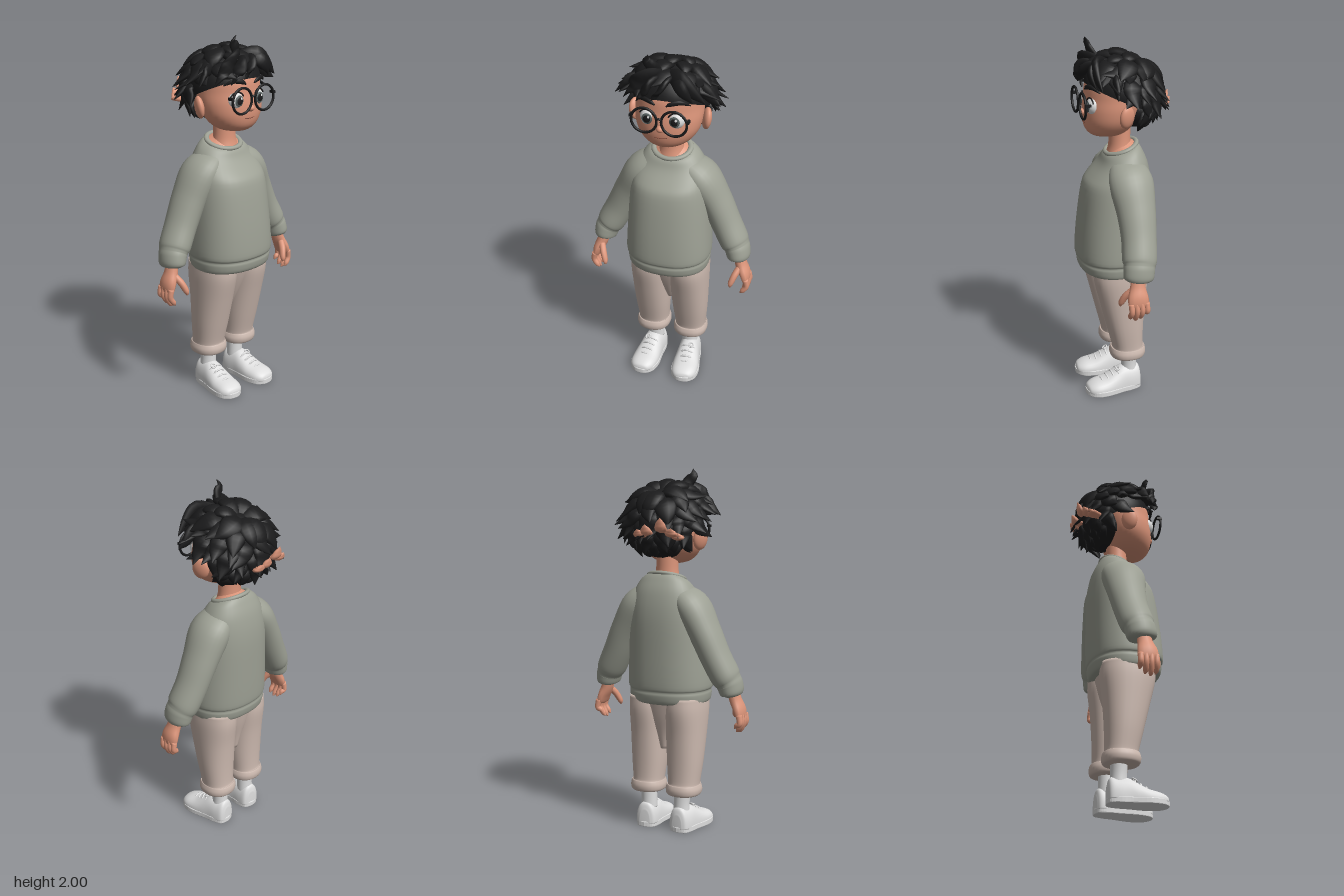
import * as THREE from 'three';

const mat = (name, color) => Object.assign(new THREE.MeshStandardMaterial({ color }), { name });
const V = (x, y, z) => new THREE.Vector3(x, y, z);

// Skin over elliptical sections [x, y, z, radius along ref, other radius]
function sweep(sections, { ref = V(1, 0, 0), up = null, steps = 5, seg = 20, exp = 2 } = {}) {
  const centres = new THREE.CatmullRomCurve3(sections.map(s => V(s[0], s[1], s[2])), false, 'catmullrom', 0.5);
  const radii = new THREE.CatmullRomCurve3(sections.map(s => V(s[3], s[4], 0)), false, 'catmullrom', 0.5);
  const n = (sections.length - 1) * steps, pos = [], idx = [];
  const power = v => Math.sign(v) * Math.abs(v) ** (2 / exp);
  for (let i = 0; i <= n; i++) {
    const c = centres.getPoint(i / n), r = radii.getPoint(i / n);
    const t = up || centres.getTangent(i / n);
    const a = ref.clone().addScaledVector(t, -t.dot(ref)).normalize();
    const b = t.clone().cross(a);
    for (let j = 0; j < seg; j++) {
      const q = j / seg * Math.PI * 2;
      const p = c.clone().addScaledVector(a, power(Math.cos(q)) * Math.max(r.x, 0.001))
        .addScaledVector(b, power(Math.sin(q)) * Math.max(r.y, 0.001));
      pos.push(p.x, p.y, p.z);
      if (i < n) {
        const k = i * seg + j, l = i * seg + (j + 1) % seg;
        idx.push(k, l, l + seg, k, l + seg, k + seg);
      }
    }
  }
  // End caps
  const first = sections[0], last = sections[sections.length - 1], m = (n + 1) * seg;
  pos.push(...first.slice(0, 3), ...last.slice(0, 3));
  for (let j = 0; j < seg; j++) {
    const k = (j + 1) % seg;
    idx.push(m, k, j, m + 1, n * seg + j, n * seg + k);
  }
  const g = new THREE.BufferGeometry();
  g.setAttribute('position', new THREE.Float32BufferAttribute(pos, 3));
  g.setIndex(idx);
  g.computeVertexNormals();
  return g;
}

// Move vertices by a rule
function warp(g, rule) {
  const p = g.attributes.position, v = V(0, 0, 0);
  for (let i = 0; i < p.count; i++) {
    rule(v.fromBufferAttribute(p, i));
    p.setXYZ(i, v.x, v.y, v.z);
  }
  g.computeVertexNormals();
  return g;
}

export function createModel() {
  const root = new THREE.Group();
  const skin = mat('skin', 0xdc957a), hair = mat('hair black', 0x1b1b1c), knit = mat('sage knit', 0x9da094);
  const cloth = mat('beige cloth', 0xcdbab0), white = mat('white', 0xdedede);
  const iris = mat('iris grey', 0x56605f), lip = mat('lip brown', 0x8f5443);
  const add = (name, g, m, parent = root) => {
    const mesh = new THREE.Mesh(g, m);
    mesh.name = name;
    parent.add(mesh);
    return mesh;
  };
  const ball = (name, m, x, y, z, rx, ry, rz, parent) => {
    const b = add(name, new THREE.SphereGeometry(1, 28, 20), m, parent);
    b.position.set(x, y, z);
    b.scale.set(rx, ry, rz);
    return b;
  };
  // Horizontal slices: [y, half width, front z, back z, centre x]
  const slices = (rows, o = {}) => sweep(rows.map(([y, rx, f, b, x = 0]) => [x, y, (f + b) / 2, rx, (f - b) / 2]),
    { up: V(0, 1, 0), seg: 36, ...o });

  // Sweater body, with the neckline lowered at the front
  add('sweaterBody', warp(slices([
    [0.722, 0.2, 0.2, -0.105], [0.735, 0.222, 0.239, -0.13], [0.775, 0.229, 0.251, -0.14], [0.797, 0.227, 0.249, -0.138],
    [0.83, 0.236, 0.26, -0.146], [1.0, 0.228, 0.247, -0.15], [1.2, 0.215, 0.217, -0.15], [1.3, 0.196, 0.176, -0.134],
    [1.37, 0.16, 0.123, -0.104], [1.405, 0.128, 0.102, -0.086], [1.418, 0.1, 0.085, -0.075]], { exp: 2.3 }), v => {
    v.y -= 0.35 * v.z * THREE.MathUtils.smoothstep(v.y, 1.2, 1.4);
  }), knit);
  const neckline = new THREE.Group();
  neckline.name = 'neckline';
  neckline.position.set(0, 1.415, 0.006);
  neckline.rotation.x = 0.34;
  root.add(neckline);
  const collar = add('collar', new THREE.TorusGeometry(0.099, 0.015, 12, 40).rotateX(Math.PI / 2), knit, neckline);
  collar.scale.set(1, 0.75, 0.88);
  const base = add('neckBase', new THREE.CylinderGeometry(0.066, 0.095, 0.02, 32), skin, neckline);
  base.scale.z = 0.88;
  base.position.y = 0.008;
  add('neck', slices([[1.38, 0.08, 0.085, -0.06], [1.44, 0.064, 0.072, -0.046], [1.55, 0.06, 0.07, -0.046]]), skin);

  // Trouser seat
  add('trouserSeat', slices([[0.46, 0.03, 0.06, -0.04], [0.55, 0.07, 0.105, -0.06], [0.65, 0.14, 0.145, -0.085],
    [0.75, 0.2, 0.175, -0.105]]), cloth);

  for (const s of [1, -1]) {
    const side = s > 0 ? 'left' : 'right';
    const limb = rows => rows.map(r => [r[0] * s, ...r.slice(1)]);
    // Sleeve and ribbed cuff
    add(side + 'Sleeve', sweep(limb([
      [0.08, 1.345, 0, 0.09, 0.05], [0.162, 1.262, 0, 0.122, 0.092], [0.24, 1.13, -0.006, 0.106, 0.086],
      [0.302, 1.0, -0.002, 0.095, 0.082], [0.354, 0.9, 0.01, 0.093, 0.08], [0.372, 0.868, 0.016, 0.084, 0.071],
      [0.38, 0.85, 0.02, 0.084, 0.069], [0.39, 0.808, 0.026, 0.08, 0.062], [0.392, 0.792, 0.028, 0.055, 0.042]]),
    { ref: V(0, 0, 1), seg: 28 }), knit);
    // Hand
    const hand = new THREE.Group();
    hand.name = side + 'Hand';
    root.add(hand);
    const flesh = (name, rows) => add(name, sweep(limb(rows), { ref: V(0, 0, 1), seg: 12 }), skin, hand);
    flesh('palm', [[0.39, 0.83, 0.03, 0.036, 0.03], [0.407, 0.765, 0.036, 0.043, 0.032], [0.43, 0.715, 0.04, 0.056, 0.029],
      [0.441, 0.675, 0.04, 0.054, 0.02], [0.442, 0.662, 0.04, 0.03, 0.008]]);
    for (let f = 0; f < 4; f++) {
      const z = -0.002 + f * 0.028, end = [0.615, 0.592, 0.585, 0.597][f];
      flesh('finger', [[0.443, 0.69, z, 0.0155, 0.017], [0.45, 0.645, z - 0.002, 0.0155, 0.016],
        [0.431, end + 0.016, z + 0.001, 0.014, 0.014], [0.418, end, z + 0.001, 0.004, 0.004]]);
    }
    flesh('thumb', [[0.405, 0.755, 0.06, 0.018, 0.018], [0.385, 0.715, 0.095, 0.019, 0.018],
      [0.369, 0.672, 0.115, 0.016, 0.015], [0.366, 0.65, 0.12, 0.005, 0.005]]);

    // Trouser leg with rolled cuff
    add(side + 'TrouserLeg', slices([
      [0.205, 0.065, 0.07, -0.07], [0.212, 0.092, 0.096, -0.093], [0.24, 0.099, 0.104, -0.1], [0.268, 0.092, 0.097, -0.094],
      [0.278, 0.088, 0.09, -0.084], [0.4, 0.099, 0.12, -0.086], [0.55, 0.106, 0.157, -0.096], [0.68, 0.11, 0.188, -0.112],
      [0.76, 0.106, 0.19, -0.11]].map(r => [...r, 0.112 * s]), { exp: 2.25, seg: 28 }), cloth);
    add(side + 'Sock', slices([[0.1, 0.046, 0.035, -0.055, 0.104 * s], [0.16, 0.045, 0.034, -0.053, 0.104 * s],
      [0.24, 0.048, 0.036, -0.054, 0.108 * s]]), white);

    // Shoe, turned out a little
    const shoe = new THREE.Group();
    shoe.name = side + 'Shoe';
    shoe.position.x = 0.109 * s;
    shoe.rotation.y = 0.09 * s;
    root.add(shoe);
    const upper = [[-0.072, 0.07, 0.03], [-0.058, 0.112, 0.054], [-0.02, 0.114, 0.063], [0.035, 0.115, 0.066],
      [0.085, 0.09, 0.072], [0.14, 0.062, 0.077], [0.2, 0.047, 0.072], [0.235, 0.03, 0.05], [0.246, 0.012, 0.02]];
    add('upper', warp(sweep(upper.map(([z, h, w]) => [0, 0.025, z, w, h]), { up: V(0, 0, 1), seg: 28, exp: 2.3 }),
      v => { v.y = Math.max(v.y, 0.02); }), white, shoe);
    const outline = new THREE.SplineCurve([[0, -0.074], [0.045, -0.06], [0.062, -0.01], [0.066, 0.05], [0.078, 0.14],
      [0.068, 0.205], [0.035, 0.24], [0, 0.248], [-0.035, 0.24], [-0.068, 0.205], [-0.078, 0.14], [-0.066, 0.05],
      [-0.062, -0.01], [-0.045, -0.06], [0, -0.074]].map(p => new THREE.Vector2(p[0], -p[1])));
    const sole = new THREE.Shape(outline.getPoints(60));
    add('sole', new THREE.ExtrudeGeometry(sole, { depth: 0.022, bevelSize: 0.003, bevelThickness: 0.004, bevelSegments: 2 })
      .rotateX(-Math.PI / 2).translate(0, 0.004, 0), white, shoe);
    for (let i = 0; i < 4; i++) {
      const z = 0.065 + i * 0.03, y = 0.128 - i * 0.016;
      add('lace', new THREE.TubeGeometry(new THREE.CatmullRomCurve3([V(-0.042, y - 0.022, z), V(-0.015, y, z + 0.006),
        V(0.015, y, z + 0.006), V(0.042, y - 0.022, z)]), 12, 0.005, 8), white, shoe);
    }
    add('bow', new THREE.TorusGeometry(0.014, 0.004, 8, 16).rotateX(-1).translate(s * 0.018, 0.13, 0.068), white, shoe);

    // Ear
    const ear = ball(side + 'Ear', skin, 0.192 * s, 1.625, 0.03, 0.024, 0.06, 0.045);
    ear.rotation.set(0, 0.45 * s, -0.15 * s);
    // Eye: iris, pupil and glint are thin caps over the eyeball
    const eye = new THREE.Group();
    eye.name = side + 'Eye';
    eye.position.set(0.073 * s, 1.667, 0.172);
    eye.rotation.y = 0.2 * s;
    root.add(eye);
    const cap = (name, m, r, angle, tilt = 0, turn = 0) => add(name, new THREE.SphereGeometry(r, 28, 14, 0, Math.PI * 2, 0, angle)
      .rotateX(Math.PI / 2 - tilt).rotateY(turn).scale(1, 1.05, 0.9), m, eye);
    cap('eyeball', white, 0.045, Math.PI);
    cap('iris', iris, 0.0458, 0.66, 0, -0.2 * s);
    cap('pupil', hair, 0.0464, 0.42, 0, -0.2 * s);
    cap('glint', white, 0.047, 0.13, 0.25, 0.2 - 0.2 * s);
    add('upperLash', new THREE.TorusGeometry(0.043, 0.004, 8, 24, 2.2).rotateZ(0.47).translate(0, 0.002, 0.022), hair, eye);
    add(side + 'Brow', sweep(limb([[0.03, 1.75, 0.208, 0.004, 0.004], [0.055, 1.764, 0.206, 0.012, 0.007],
      [0.1, 1.77, 0.19, 0.012, 0.007], [0.142, 1.748, 0.158, 0.003, 0.003]]), { ref: V(0, 1, 0), seg: 10 }), hair);
    // Glasses
    add(side + 'Rim', new THREE.TorusGeometry(0.067, 0.0068, 10, 44).translate(0.079 * s, 1.672, 0.234), hair);
    add(side + 'Hinge', new THREE.BoxGeometry(0.014, 0.014, 0.03).translate(0.15 * s, 1.69, 0.224), hair);
  }
  add('glassesBridge', new THREE.TubeGeometry(new THREE.CatmullRomCurve3([V(-0.015, 1.682, 0.234), V(0, 1.69, 0.238),
    V(0.015, 1.682, 0.234)]), 10, 0.006, 8), hair);

  // Head, nose and mouth
  add('head', slices([[1.487, 0.03, 0.13, 0.04], [1.5, 0.085, 0.172, 0], [1.53, 0.13, 0.2, -0.04], [1.58, 0.164, 0.213, -0.075],
    [1.64, 0.178, 0.213, -0.1], [1.7, 0.178, 0.205, -0.12], [1.78, 0.17, 0.192, -0.12], [1.85, 0.12, 0.13, -0.09],
    [1.88, 0.04, 0.06, -0.03]]), skin);
  ball('nose', skin, 0, 1.622, 0.212, 0.021, 0.018, 0.022);
  add('mouth', new THREE.TubeGeometry(new THREE.CatmullRomCurve3([V(-0.034, 1.571, 0.207), V(0, 1.569, 0.2115),
    V(0.034, 1.573, 0.207)]), 14, 0.0028, 6), lip);

  // Hair: a cap tilted back, a nape and rings of pointed tufts flowing from the crown
  const mop = new THREE.Group();
  mop.name = 'hair';
  mop.position.set(0, 1.72, 0.005);
  mop.rotation.x = -0.42;
  root.add(mop);
  hair.side = THREE.DoubleSide;
  add('hairCap', new THREE.SphereGeometry(0.2, 36, 20, 0, Math.PI * 2, 0, 1.74).scale(1, 0.9, 1.02), hair, mop);
  ball('nape', hair, 0, 1.63, -0.065, 0.15, 0.105, 0.105);
  let seed = 7;
  const rnd = () => (seed = (seed * 16807) % 2147483647) / 2147483647;
  const at = (t, a, r) => V(r * Math.sin(t) * Math.sin(a), r * Math.cos(t) * 0.9, r * Math.sin(t) * Math.cos(a));
  const leaf = (name, pts, w, m, parent, ref) => add(name, sweep(pts.map((p, i) =>
    [p.x, p.y, p.z, w * [0.5, 1, 0.75, 0.03][i], w * [0.3, 0.46, 0.35, 0.03][i]]), { ref, seg: 10, steps: 4 }), m, parent);
  // [start angle, count, reach, tip radius, half width, nearest angle to the front]
  for (const [t, count, reach, tip, w, gap] of [[0.08, 7, 0.8, 0.235, 0.055, 0], [0.4, 10, 0.75, 0.255, 0.052, 0],
    [0.75, 14, 0.65, 0.272, 0.05, 0], [1.05, 17, 0.55, 0.28, 0.045, 0.4], [1.35, 18, 0.5, 0.262, 0.04, 1.5],
    [1.6, 20, 0.48, 0.245, 0.036, 1.95], [1.85, 20, 0.42, 0.235, 0.034, 2.1]]) {
    for (let i = 0; i < count; i++) {
      const a = ((i + rnd() * 0.6 + t) / count * 2 - 1) * Math.PI;
      const fromFront = Math.abs(Math.atan2(Math.sin(a), Math.cos(a)));
      const k = 0.8 + rnd() * 0.4, twist = (rnd() - 0.5) * 0.5;
      const r = (tip + rnd() * 0.02) * (fromFront < 0.9 ? 0.88 : fromFront > 2.5 ? 0.95 : 1);
      if (fromFront < gap) continue;
      leaf('tuft', [at(t, a, 0.175), at(t + reach * 0.35 * k, a, 0.212), at(t + reach * 0.7 * k, a + twist * 0.4, 0.228),
        at(t + reach * k, a + twist, r)], w * k, hair, mop, V(Math.cos(a), 0, -Math.sin(a)));
    }
  }
  // Fringe and the curl on top: [root, bend, bend, tip, half width]
  for (const [a, b, c, d, w] of [
    [[-0.02, 1.87, 0.11], [-0.055, 1.93, 0.155], [-0.082, 1.965, 0.165], [-0.072, 2.0, 0.178], 0.032],
    [[0, 1.88, 0.1], [0.08, 1.885, 0.165], [0.15, 1.83, 0.175], [0.22, 1.77, 0.165], 0.048],
    [[0, 1.88, 0.1], [-0.08, 1.885, 0.17], [-0.15, 1.825, 0.18], [-0.21, 1.75, 0.165], 0.05],
    [[-0.02, 1.87, 0.14], [-0.055, 1.86, 0.195], [-0.09, 1.81, 0.212], [-0.13, 1.755, 0.205], 0.042],
    [[0.04, 1.87, 0.14], [0.085, 1.865, 0.185], [0.12, 1.825, 0.2], [0.16, 1.77, 0.18], 0.038],
    [[0.04, 1.88, 0.13], [0.02, 1.865, 0.19], [-0.01, 1.82, 0.215], [-0.05, 1.775, 0.218], 0.034],
    [[0.13, 1.84, 0.08], [0.19, 1.81, 0.09], [0.235, 1.765, 0.09], [0.28, 1.735, 0.1], 0.038],
    [[-0.13, 1.84, 0.08], [-0.19, 1.82, 0.09], [-0.23, 1.785, 0.1], [-0.27, 1.75, 0.12], 0.038]])
    leaf('fringe', [a, b, c, d].map(p => V(...p)), w, hair, root, V(0.6, 0.8, 0));
  // Light tufts at the back of the head: [x, y, z, lift]
  for (const [x, y, z, lift] of [[0.035, 1.65, -0.225, 0.03], [-0.01, 1.66, -0.23, 0.045], [-0.09, 1.68, -0.222, 0.06],
    [-0.14, 1.655, -0.202, 0.03], [-0.165, 1.64, -0.18, 0.02]])
    leaf('lightTuft', [V(x * 0.9, y - 0.005, z + 0.07), V(x, y, z), V(x * 1.04, y + lift * 0.5, z - 0.017),
      V(x * 1.08, y + lift, z - 0.028)], 0.036, skin, root, V(1, 0, 0));
  return root;
}
